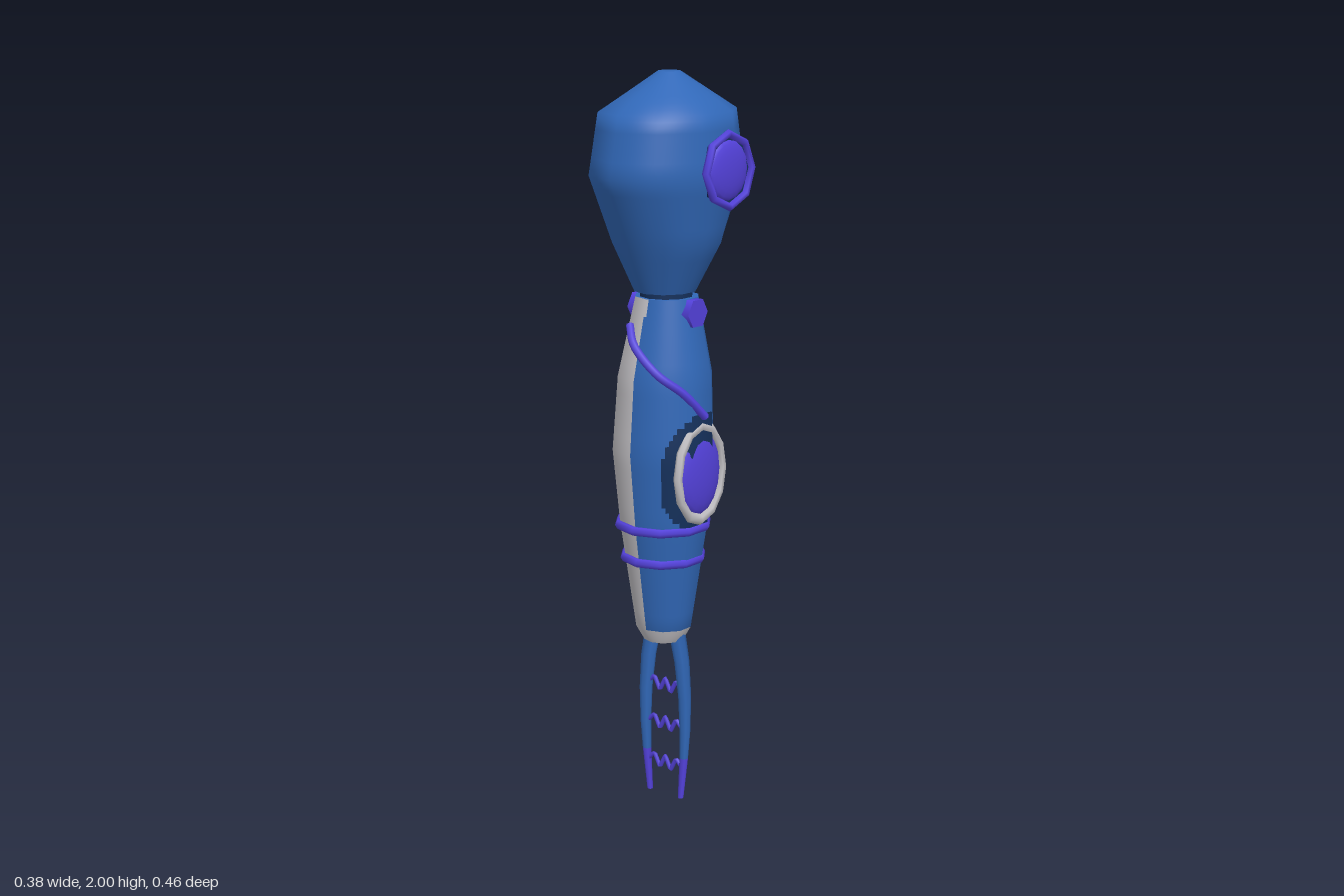
import * as THREE from 'three';

const mat = (name, color) => Object.assign(new THREE.MeshStandardMaterial({ color }), { name });

// Ten-sided tube through stations [y, centreX, centreZ, radiusX, radiusZ], bottom to top.
// rule(x, y, z) picks the material index of each small cell.
function loft(stations, rule, materialCount) {
  const sides = 10, sub = 8, cols = sides * sub;
  const at = (y) => {
    let i = 0;
    while (i < stations.length - 2 && y > stations[i + 1][0]) i++;
    const a = stations[i], b = stations[i + 1];
    const t = THREE.MathUtils.clamp((y - a[0]) / (b[0] - a[0]), 0, 1);
    return a.map((v, k) => v + (b[k] - v) * t);
  };
  const ys = [];
  stations.forEach((s, i) => {
    if (!i) return ys.push(s[0]);
    const y0 = stations[i - 1][0], n = Math.max(1, Math.round((s[0] - y0) / 0.015));
    for (let k = 1; k <= n; k++) ys.push(y0 + (s[0] - y0) * k / n);
  });
  const pos = [], nor = [];
  const lo = ys[0], hi = ys[ys.length - 1];
  for (const y of ys) {
    const [, cx, cz, rx, rz] = at(y);
    const y0 = Math.max(lo, y - 0.04), y1 = Math.min(hi, y + 0.04);
    const A = at(y0), B = at(y1);
    const dx = (B[3] - A[3]) / (y1 - y0), dz = (B[4] - A[4]) / (y1 - y0);
    for (let j = 0; j <= cols; j++) {
      const k = Math.floor(j / sub), t = (j % sub) / sub;
      const a0 = k * Math.PI * 2 / sides, a1 = (k + 1) * Math.PI * 2 / sides;
      const s = Math.sin(a0) * (1 - t) + Math.sin(a1) * t;
      const c = Math.cos(a0) * (1 - t) + Math.cos(a1) * t;
      pos.push(cx + rx * s, y, cz + rz * c);
      const n = new THREE.Vector3(s / rx, -(s * s * dx / rx + c * c * dz / rz), c / rz).normalize();
      nor.push(n.x, n.y, n.z);
    }
  }
  const buckets = Array.from({ length: materialCount }, () => []);
  for (let i = 0; i < ys.length - 1; i++) {
    for (let j = 0; j < cols; j++) {
      const a = i * (cols + 1) + j, b = a + 1, c = a + cols + 1, d = c + 1;
      const mid = [0, 1, 2].map((k) => (pos[a * 3 + k] + pos[d * 3 + k]) / 2);
      buckets[rule(...mid)].push(a, b, d, a, d, c);
    }
  }
  const g = new THREE.BufferGeometry();
  g.setAttribute('position', new THREE.Float32BufferAttribute(pos, 3));
  g.setAttribute('normal', new THREE.Float32BufferAttribute(nor, 3));
  g.setIndex(buckets.flat());
  let start = 0;
  buckets.forEach((b, i) => { g.addGroup(start, b.length, i); start += b.length; });
  return g;
}

export function createModel() {
  const blue = mat('blue shell', 0x3168b8);
  const grey = mat('light grey', 0xc4c2c6);
  const purple = mat('purple', 0x5442dc);
  const dark = mat('dark blue', 0x15315c);
  const model = new THREE.Group();
  const add = (name, geo, material, x = 0, y = 0, z = 0) => {
    const m = new THREE.Mesh(geo, material);
    m.name = name;
    m.position.set(x, y, z);
    model.add(m);
    return m;
  };
  const cap = (name, [y, cx, cz, rx, rz], up, material) => {
    const g = new THREE.CircleGeometry(1, 10, Math.PI / 2).rotateX(up ? -Math.PI / 2 : Math.PI / 2);
    add(name, g.scale(rx, 1, rz), material, cx, y, cz);
  };
  const tube = (name, pts, r, material, tension = 0.5, seg = 24) => {
    const curve = new THREE.CatmullRomCurve3(pts.map((p) => new THREE.Vector3(...p)), false, 'catmullrom', tension);
    return add(name, new THREE.TubeGeometry(curve, seg, r, 6), material);
  };

  // Shoulder shell with a grey patch low on the back
  const shoulder = [
    [1.425, -0.03, -0.015, 0.083, 0.087], [1.56, -0.02, -0.01, 0.15, 0.15],
    [1.74, -0.012, 0, 0.188, 0.229], [1.9, -0.02, -0.012, 0.172, 0.2], [2, -0.022, -0.02, 0.03, 0.03],
  ];
  add('shoulder', loft(shoulder, (x, y, z) => (z < -0.062 && y < 1.55 ? 1 : 0), 2), [blue, grey]);
  cap('shoulderTop', shoulder[4], true, blue);
  cap('shoulderBottom', shoulder[0], false, blue);
  add('neck', new THREE.CylinderGeometry(0.072, 0.072, 0.04, 10), dark, -0.03, 1.418, -0.018);

  // Forearm: grey front quarter and rear panel, grey wrist, dark recess behind the side lens
  const forearm = [
    [0.46, -0.027, -0.004, 0.055, 0.056], [0.5, -0.027, -0.002, 0.08, 0.075],
    [0.8, -0.027, -0.005, 0.125, 0.122], [1, -0.028, -0.002, 0.142, 0.138],
    [1.2, -0.028, -0.01, 0.13, 0.13], [1.41, -0.03, -0.02, 0.088, 0.085],
  ];
  const forearmColour = (x, y, z) => {
    if (y < 0.5) return 1;
    if (x < -0.026 && (z > -0.055 || y > 1.285)) return 1;
    if (x > 0.05 && Math.hypot((z + 0.01) / 0.12, (y - 0.945) / 0.167) < 1) return 2;
    return 0;
  };
  add('forearm', loft(forearm, forearmColour, 3), [blue, grey, dark]);
  cap('forearmTop', forearm[5], true, blue);
  cap('wristBottom', forearm[0], false, blue);

  // Side lens on the shoulder: octagonal rim, dark seat, domed lens
  const rim = add('shoulderLensRim', new THREE.TorusGeometry(0.094, 0.011, 6, 8).rotateY(Math.PI / 2), purple, 0.176, 1.757, -0.02);
  rim.rotation.z = 0.03;
  add('shoulderLensSeat', new THREE.CylinderGeometry(0.09, 0.09, 0.02, 8).rotateZ(-Math.PI / 2), dark, 0.164, 1.757, -0.02);
  const dome = new THREE.SphereGeometry(1, 16, 6, 0, Math.PI * 2, 0, Math.PI / 2).rotateZ(-Math.PI / 2);
  add('shoulderLens', dome, purple, 0.17, 1.757, -0.02).scale.set(0.02, 0.08, 0.08);

  // Oval lens on the forearm
  add('forearmLensRim', new THREE.TorusGeometry(0.094, 0.012, 6, 12).rotateY(Math.PI / 2).scale(1, 1.36, 1), grey, 0.094, 0.945, -0.008);
  add('forearmLens', dome, purple, 0.088, 0.945, -0.008).scale.set(0.027, 0.118, 0.085);

  // Hexagonal pivots either side of the elbow
  for (const x of [-0.119, 0.062]) {
    add('elbowPivot', new THREE.CylinderGeometry(0.041, 0.041, 0.028, 6).rotateZ(Math.PI / 2), purple, x, 1.373, -0.02);
  }

  // Cable wrapping from the front to the side lens
  tube('cable', [[-0.072, 1.34, 0.083], [-0.03, 1.29, 0.113], [0.04, 1.225, 0.108], [0.088, 1.17, 0.055], [0.112, 1.1, -0.008]], 0.011, purple);

  // Wrist bands
  for (const [y, r] of [[0.79, 0.121], [0.698, 0.106]]) {
    add('wristBand', new THREE.TorusGeometry(r, 0.013, 6, 10).rotateX(Math.PI / 2).rotateY(Math.PI / 2), purple, -0.029, y, -0.002);
  }

  // Tapered prongs with purple tips, built from stacked short frustums
  const prong = [[0.49, 0.04, 0.023], [0.4, 0.059, 0.021], [0.3, 0.069, 0.018], [0.2, 0.07, 0.015], [0.12, 0.066, 0.012], [0, 0.055, 0.008]];
  for (const side of [-1, 1]) {
    for (let i = 0; i < prong.length - 1; i++) {
      const [y0, x0, r0] = prong[i], [y1, x1, r1] = prong[i + 1];
      const g = new THREE.CylinderGeometry(r0, r1, y0 - y1, 8);
      const p = g.attributes.position;
      for (let k = 0; k < p.count; k++) {
        const t = 0.5 - p.getY(k) / (y0 - y1);
        p.setX(k, p.getX(k) + side * (x0 + (x1 - x0) * t));
      }
      add(i === 4 ? 'prongTip' : 'prong', g, i === 4 ? purple : blue, -0.028, (y0 + y1) / 2, -0.01);
    }
  }

  // Zigzag sparks between the prongs
  for (const y of [0.32, 0.207, 0.092]) {
    const pts = [];
    for (let i = 0; i <= 6; i++) {
      const amp = i === 0 || i === 6 ? 0 : i % 2 ? 0.018 : -0.018;
      pts.push([-0.028 + (i / 6 - 0.5) * 0.115, y + amp, -0.01]);
    }
    tube('spark', pts, 0.006, purple, 0.1, 36);
  }
  return model;
}
